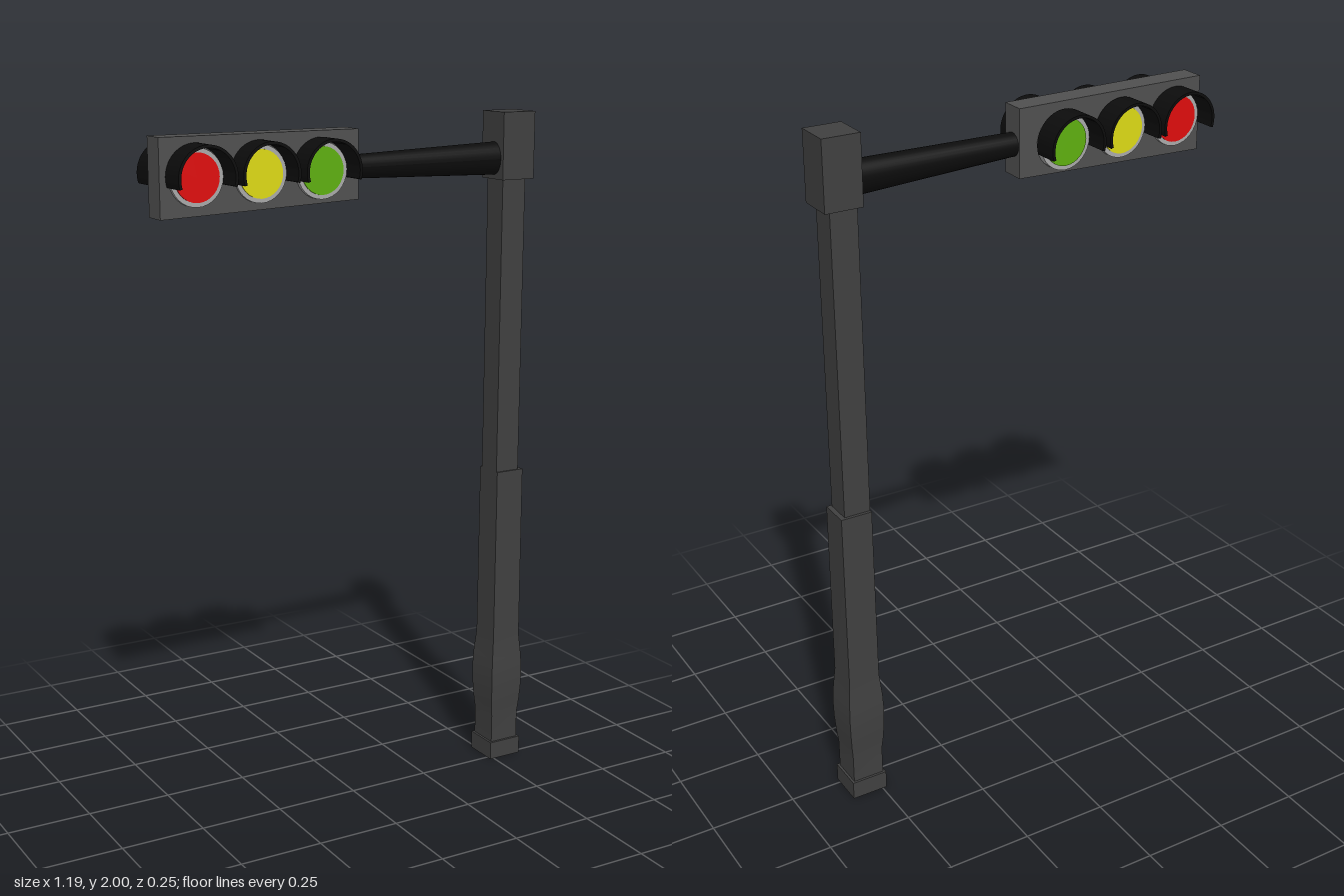
import * as THREE from 'three';
import { toCreasedNormals } from 'three/addons/utils/BufferGeometryUtils.js';

const paint = (color) => new THREE.MeshStandardMaterial({ color });
const poleMat = paint(0x404040);
const headMat = paint(0x505050);
const blackMat = paint(0x0c0c0c);
const rimMat = paint(0xaaaaaa);

function part(parent, name, geometry, material, x = 0, y = 0, z = 0) {
  const mesh = new THREE.Mesh(geometry, material);
  mesh.name = name;
  mesh.position.set(x, y, z);
  parent.add(mesh);
  return mesh;
}

// Moves every vertex of a geometry by a rule
function reshape(geometry, rule) {
  const pos = geometry.attributes.position;
  const v = new THREE.Vector3();
  for (let i = 0; i < pos.count; i++) {
    rule(v.fromBufferAttribute(pos, i));
    pos.setXYZ(i, v.x, v.y, v.z);
  }
  geometry.computeVertexNormals();
  return geometry;
}

// Square column whose width follows [height, width] steps
function squareColumn(profile) {
  const n = profile.length - 1;
  return reshape(new THREE.BoxGeometry(1, 1, 1, 1, n, 1), (v) => {
    const [y, w] = profile[Math.round((v.y + 0.5) * n)];
    v.set(v.x * w, y, v.z * w);
  });
}

// Hood: an arc a little over a half circle, open at the bottom
function visorGeometry(radius, thickness, depth) {
  const a = -0.3, b = Math.PI + 0.3;
  const shape = new THREE.Shape();
  shape.absarc(0, 0, radius, a, b, false);
  shape.absarc(0, 0, radius - thickness, b, a, true);
  const geometry = new THREE.ExtrudeGeometry(shape, { depth, bevelEnabled: false, curveSegments: 28 });
  return toCreasedNormals(geometry, 0.6);
}

function disc(radius, depth) {
  return new THREE.CylinderGeometry(radius, radius, depth, 32).rotateX(Math.PI / 2).translate(0, 0, depth / 2);
}

export function createModel() {
  const model = new THREE.Group();
  model.name = 'trafficLight';

  // Pole with base plinth, swollen lower shaft, thin upper shaft and cap
  const pole = new THREE.Group();
  pole.name = 'pole';
  pole.position.set(0.541, 0, -0.037);
  model.add(pole);
  part(pole, 'base', new THREE.BoxGeometry(0.108, 0.055, 0.108), poleMat, 0, 0.0275);
  part(pole, 'lowerShaft', squareColumn([
    [0.05, 0.094], [0.14, 0.094], [0.18, 0.102], [0.23, 0.108], [0.28, 0.11],
    [0.33, 0.106], [0.4, 0.094], [0.932, 0.092],
  ]), poleMat);
  part(pole, 'upperShaft', new THREE.BoxGeometry(0.078, 0.9, 0.078), poleMat, -0.007, 1.37, 0.002);
  part(pole, 'cap', new THREE.BoxGeometry(0.108, 0.193, 0.108), poleMat, 0, 1.9035, -0.002);

  // Tapering arm, taller than deep where it meets the pole
  const arm = new THREE.CylinderGeometry(1, 1, 1, 28, 1).rotateZ(-Math.PI / 2);
  part(model, 'arm', reshape(arm, (v) => {
    const t = v.x + 0.5;
    v.set(
      -0.02 + 0.53 * t,
      1.867 + v.y * (0.032 + 0.016 * t),
      -0.006 - 0.029 * t + v.z * (0.032 + 0.005 * t),
    );
  }), blackMat);

  // Signal head, slightly taller at its outer end and turned a little
  const axisZ = (x) => -0.0075 - 0.028 * x;
  const halfDepth = 0.036;
  part(model, 'signalHead', reshape(new THREE.BoxGeometry(1, 1, 1), (v) => {
    const x = v.x * 0.598 - 0.3;
    const bottom = v.x < 0 ? 1.761 : 1.781;
    v.set(x, v.y > 0 ? 1.972 : bottom, axisZ(x) + v.z * 2 * halfDepth);
  }), headMat);

  // Lamps on both faces: x position and hood start and end, front then back
  const lamps = [
    { name: 'red', color: 0xe00d0d, front: [-0.497, 0.045, 0.122], back: [-0.511, 0.032, 0.103] },
    { name: 'yellow', color: 0xdedb15, front: [-0.307, 0.036, 0.11], back: [-0.324, 0.042, 0.115] },
    { name: 'green', color: 0x5fb010, front: [-0.122, 0.036, 0.112], back: [-0.133, 0.054, 0.128] },
  ];
  for (const { name, color, ...faces } of lamps) {
    const lensMat = paint(color);
    for (const face of ['front', 'back']) {
      const [x, start, end] = faces[face];
      const side = face === 'front' ? 1 : -1;
      const surface = side * axisZ(x) + halfDepth;
      const rimDepth = Math.max(start - surface, 0) + 0.008;

      const lamp = new THREE.Group();
      lamp.name = `${name}Lamp_${face}`;
      lamp.position.set(x, 1.866, side * surface);
      lamp.rotation.y = 0.028 + (side < 0 ? Math.PI : 0);
      model.add(lamp);
      part(lamp, 'rim', disc(0.077, rimDepth), rimMat);
      part(lamp, 'lens', disc(0.065, rimDepth + 0.003), lensMat);
      part(lamp, 'visor', visorGeometry(0.086, 0.008, end - start), blackMat, 0, 0.003, start - surface);
    }
  }
  return model;
}
